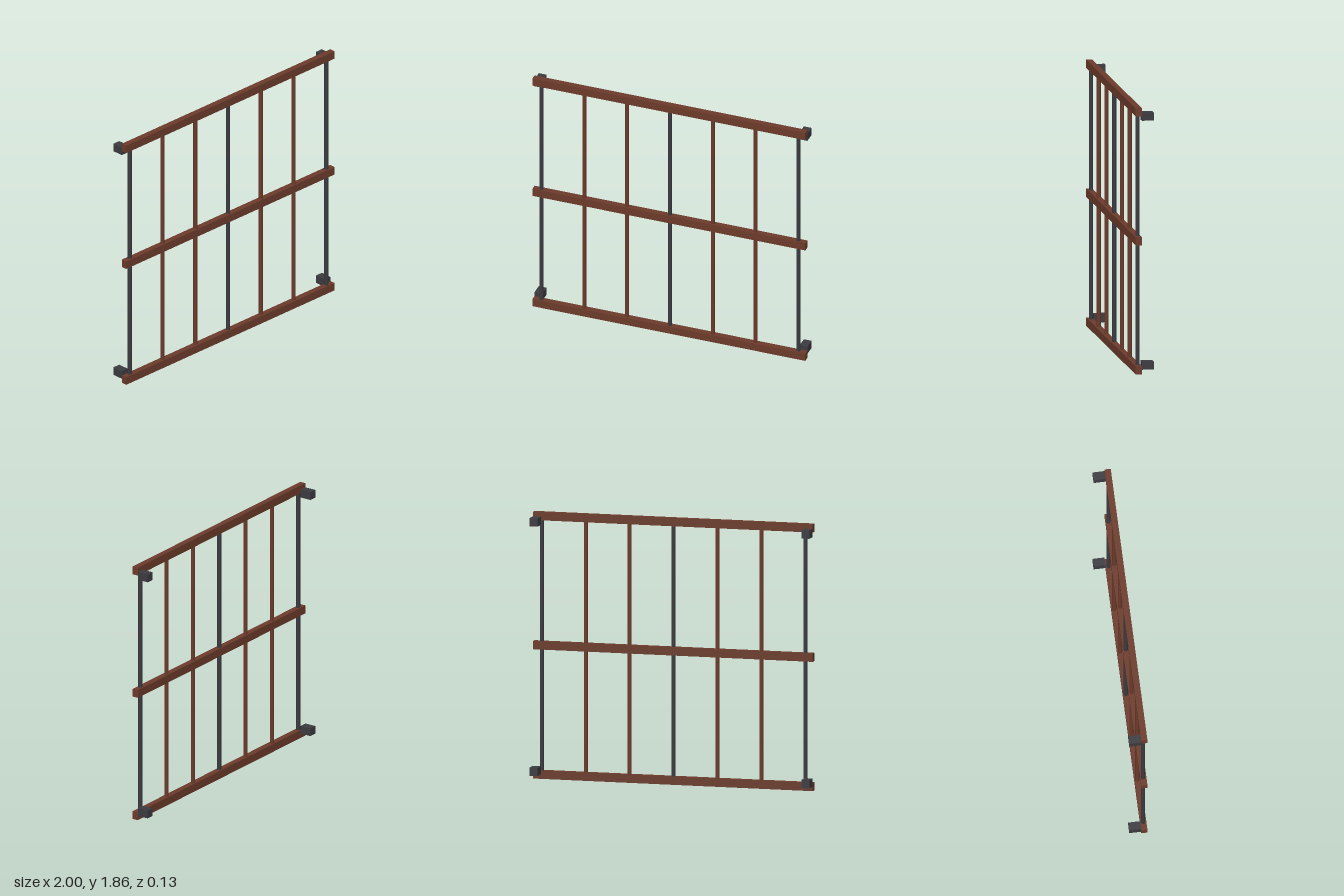
import * as THREE from 'three';

export function createModel() {
  const group = new THREE.Group();
  const rust = new THREE.MeshStandardMaterial({ color: 0x6b3a2a });
  rust.name = 'rusty brown';
  const iron = new THREE.MeshStandardMaterial({ color: 0x3a3a40 });
  iron.name = 'dark iron';

  const HEIGHT = 1.855, BAR_Z = 0.04;

  function add(name, geometry, material, x, y, z) {
    const mesh = new THREE.Mesh(geometry, material);
    mesh.name = name;
    mesh.position.set(x, y, z);
    group.add(mesh);
  }

  // Horizontal rails
  const rail = new THREE.BoxGeometry(2, 0.057, 0.043);
  add('bottomRail', rail, rust, 0, 0.0285, 0.0415);
  add('middleRail', rail, rust, 0, HEIGHT / 2, 0.0415);
  add('topRail', rail, rust, 0, HEIGHT - 0.0285, 0.0415);

  // Upright bars: every third one is dark iron
  const bar = new THREE.CylinderGeometry(0.0145, 0.0145, HEIGHT - 0.02, 8);
  for (let i = -3; i <= 3; i++) {
    const dark = i % 3 === 0;
    add(dark ? 'ironBar' : 'rustyBar', bar, dark ? iron : rust, i * 0.314, HEIGHT / 2, BAR_Z);
  }

  // Wall brackets behind the four corners
  const bracket = new THREE.BoxGeometry(0.057, 0.057, 0.083);
  for (const side of [-1, 1]) {
    for (const y of [0.06, HEIGHT - 0.06]) {
      add('wallBracket', bracket, iron, side * 0.9715, y, -0.0215);
    }
  }
  return group;
}
